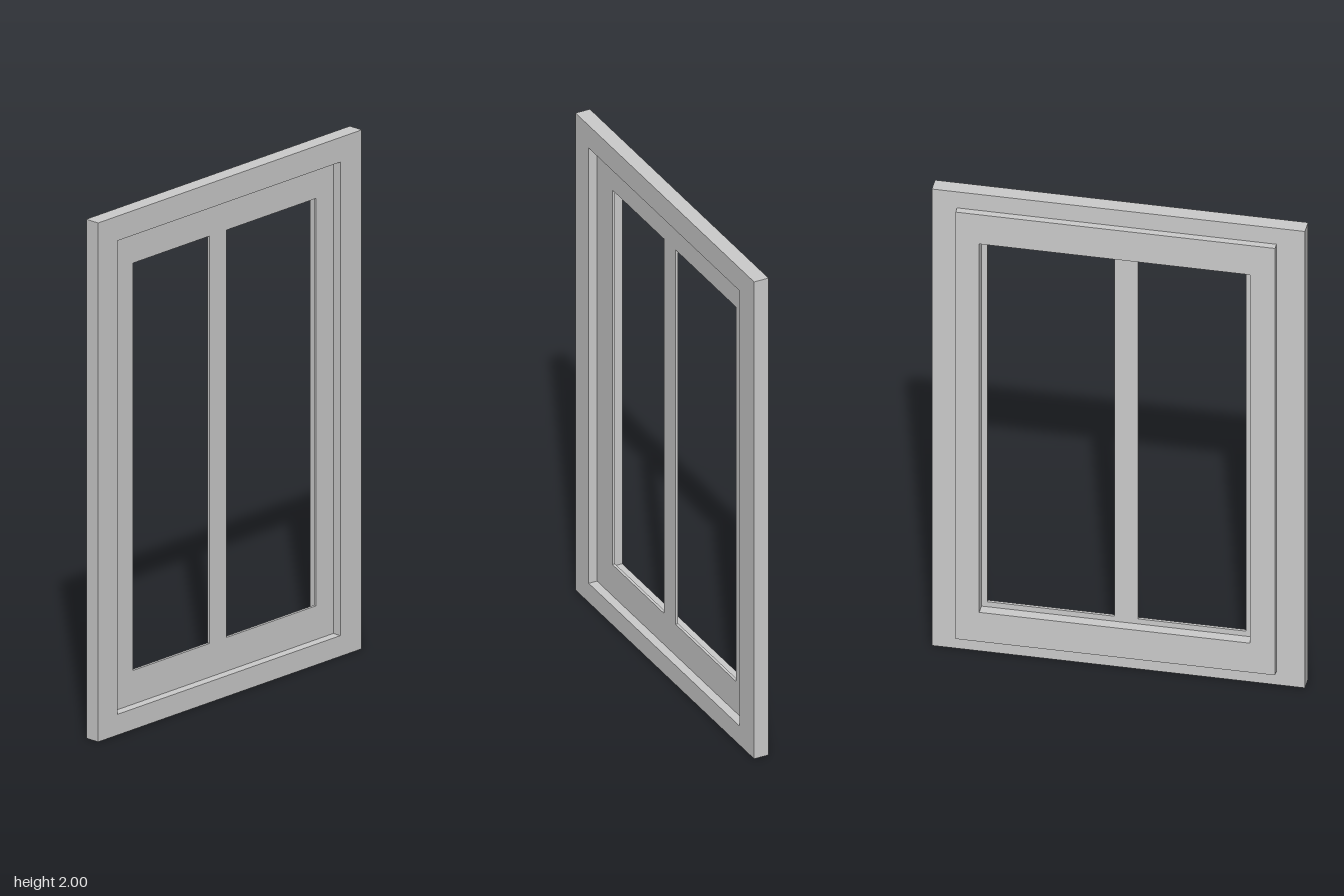
import * as THREE from 'three';

// Depth planes, front to back
const FRONT = 0.0435, SASH_FRONT = 0.009, LIP_BACK = -0.002, FRAME_BACK = -0.0157, BACK = -0.0435;

const material = new THREE.MeshStandardMaterial({ color: 0xcccccc, flatShading: true });

function trace(path, [x0, x1, y0, y1]) {
  path.moveTo(x0, y0);
  path.lineTo(x1, y0);
  path.lineTo(x1, y1);
  path.lineTo(x0, y1);
  path.closePath();
  return path;
}

// Rectangular plate with rectangular openings; rectangles are [x0, x1, y0, y1]
function plate(name, outer, holes, zBack, zFront) {
  const shape = trace(new THREE.Shape(), outer);
  for (const hole of holes) shape.holes.push(trace(new THREE.Path(), hole));
  const geometry = new THREE.ExtrudeGeometry(shape, { depth: zFront - zBack, bevelEnabled: false });
  geometry.translate(0, 0, zBack);
  const mesh = new THREE.Mesh(geometry, material);
  mesh.name = name;
  return mesh;
}

export function createModel() {
  const model = new THREE.Group();
  model.name = 'window';

  const opening = [-0.588, 0.578, 0.08, 1.905];
  const rebate = [-0.492, 0.509, 0.188, 1.802];
  const panes = [[-0.47, -0.07, 0.21, 1.78], [0.018, 0.487, 0.21, 1.78]];

  // Fixed outer frame
  model.add(plate('outerFrame', [-0.69, 0.69, 0, 2], [opening], FRAME_BACK, FRONT));

  // Sash: front lip with central mullion, deeper rebated body, rear flange over the frame
  const sash = new THREE.Group();
  sash.name = 'sash';
  sash.add(
    plate('sashLipAndMullion', opening, panes, LIP_BACK, SASH_FRONT),
    plate('sashBody', opening, [rebate], FRAME_BACK, LIP_BACK),
    plate('sashRearFlange', [-0.585, 0.597, 0.06, 1.93], [rebate], BACK, FRAME_BACK),
  );
  model.add(sash);

  return model;
}
